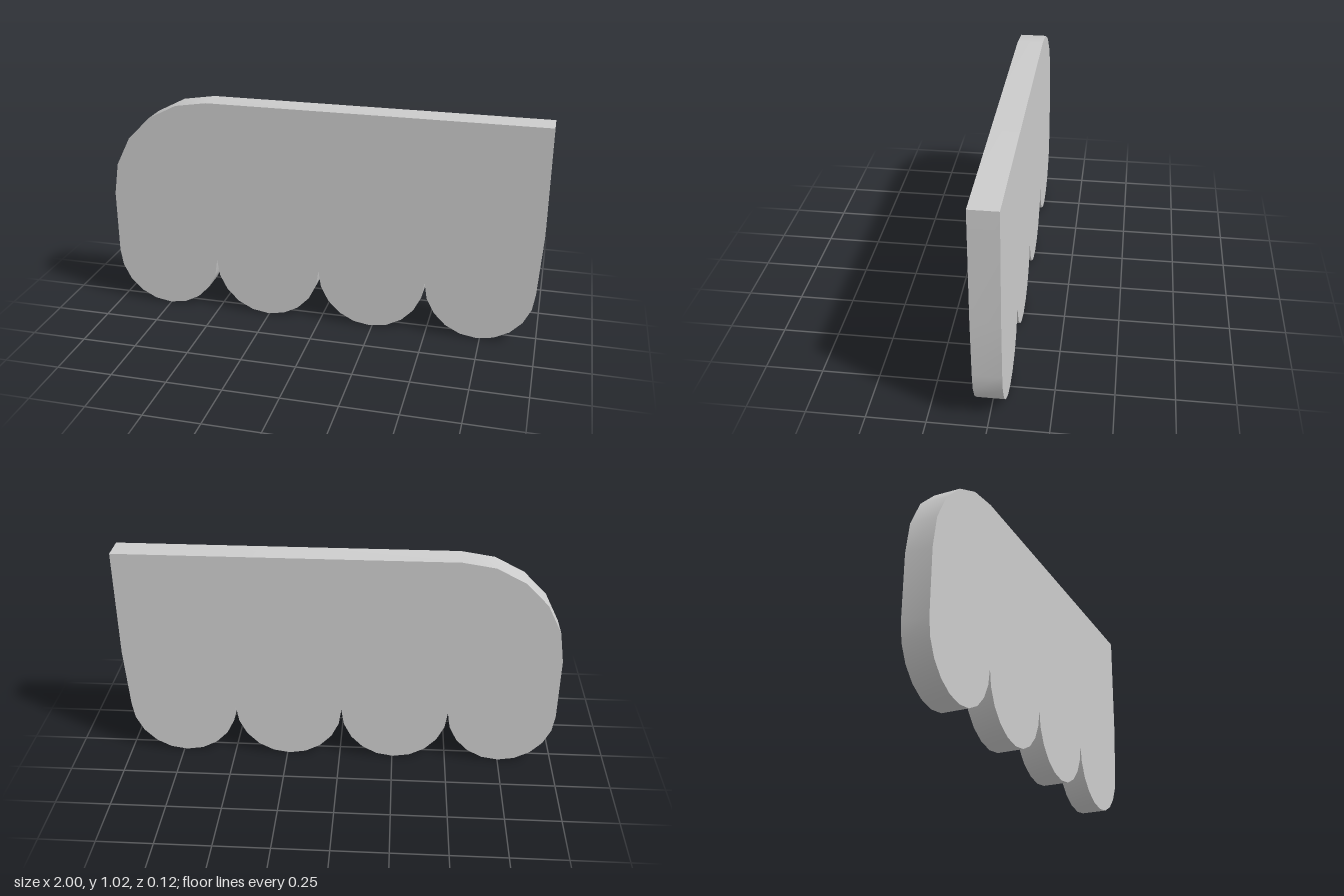
import * as THREE from 'three';
import { toCreasedNormals } from 'three/addons/utils/BufferGeometryUtils.js';

const STEPS = 10;          // segments per scallop half circle
const RADIUS = 0.248;      // scallop radius
const THICKNESS = 0.12;

// Points of a faceted arc from angle a to angle b
function arc(cx, cy, rx, ry, a, b, steps) {
  return Array.from({ length: steps + 1 }, (_, i) => {
    const t = a + ((b - a) * i) / steps;
    return new THREE.Vector2(cx + rx * Math.cos(t), cy + ry * Math.sin(t));
  });
}

export function createModel() {
  const group = new THREE.Group();
  group.name = 'scallopedPanel';

  // Four scallops along the bottom edge, from -x to +x
  const outline = [];
  for (let i = 0; i < 4; i++) {
    const lobe = arc(-1 + RADIUS * (2 * i + 1), 0.253, RADIUS, 0.253, Math.PI, 2 * Math.PI, STEPS);
    outline.push(...(i ? lobe.slice(1) : lobe));
  }

  // Slightly flared straight side and square top corner
  outline.push(new THREE.Vector2(1, 0.53), new THREE.Vector2(1, 1.023));

  // Large rounded top corner
  outline.push(...arc(-0.525, 0.548, 0.475, 0.475, Math.PI / 2, Math.PI, 5));

  const geometry = new THREE.ExtrudeGeometry(new THREE.Shape(outline), {
    depth: THICKNESS,
    bevelEnabled: false,
  });
  geometry.translate(0, 0, -THICKNESS / 2);

  // Smooth around the curves, sharp at the rim and notches
  const panel = new THREE.Mesh(
    toCreasedNormals(geometry, 0.5),
    new THREE.MeshStandardMaterial({ color: 0xcccccc })
  );
  panel.name = 'panel';
  group.add(panel);
  return group;
}
